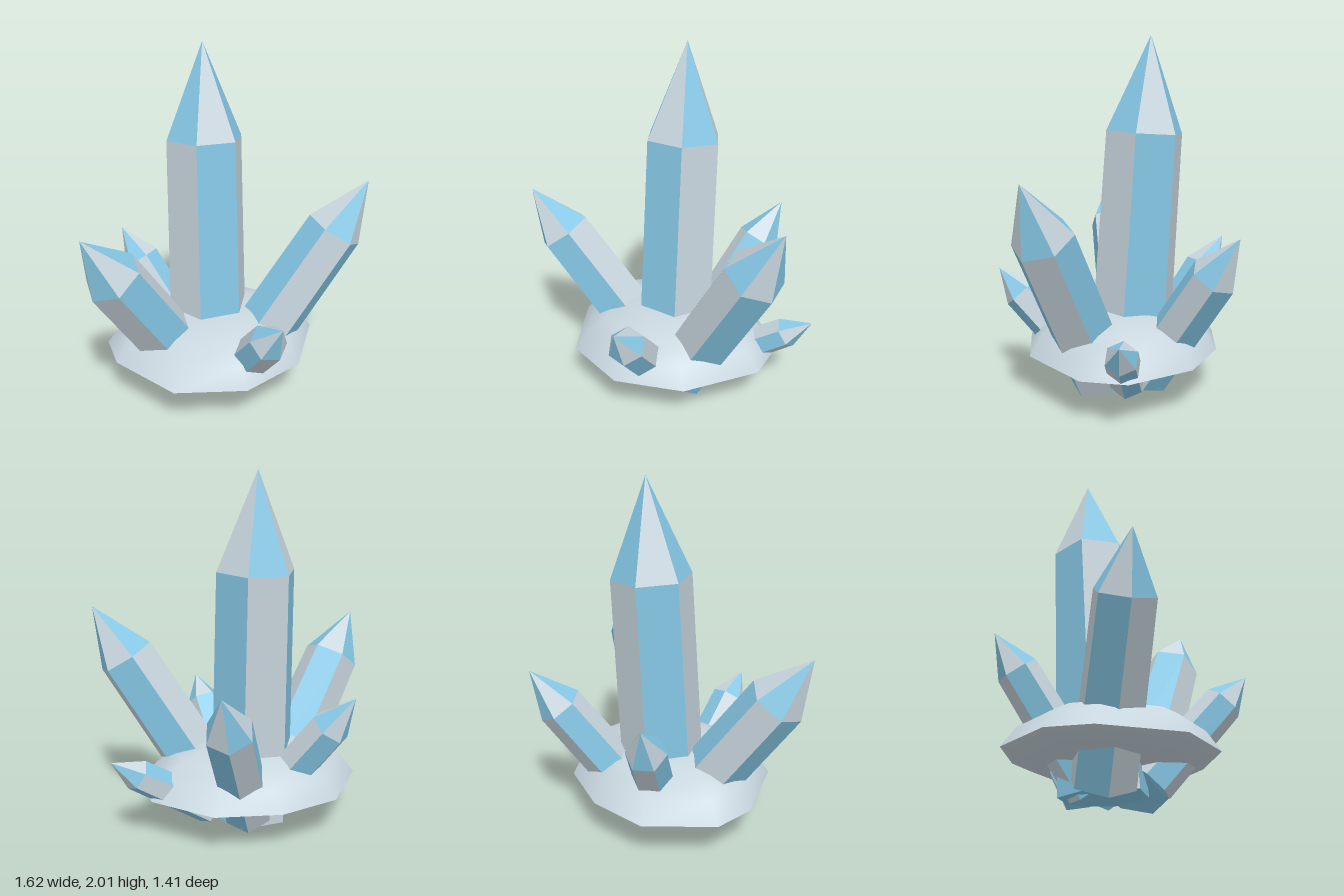
import * as THREE from 'three';

const mat = (name, color) => {
  const m = new THREE.MeshStandardMaterial({ color });
  m.name = name;
  return m;
};
const V = (a) => new THREE.Vector3(...a);

// Six-sided pointed crystal; faces alternate in colour, the tip opposite to the shaft.
// blueSide is the direction one blue shaft face looks towards.
function crystal(name, { base, tip, shoulder, r0, r1, blueSide }, mats) {
  const B = V(base), T = V(tip);
  const d = T.clone().sub(B).normalize();
  const u = V(blueSide).addScaledVector(d, -V(blueSide).dot(d)).normalize();
  const v = d.clone().cross(u);
  const S = B.clone().lerp(T, shoulder);
  const corner = (centre, r, i) => {
    const a = (i - 0.5) * Math.PI / 3;
    return centre.clone().addScaledVector(u, r * Math.cos(a)).addScaledVector(v, r * Math.sin(a));
  };
  const tris = [[], []]; // blue, pale
  for (let i = 0; i < 6; i++) {
    const b0 = corner(B, r0, i), b1 = corner(B, r0, i + 1);
    const t0 = corner(S, r1, i), t1 = corner(S, r1, i + 1);
    tris[i % 2].push(b0, b1, t1, b0, t1, t0);
    tris[1 - i % 2].push(t0, t1, T);
    tris[0].push(B, b1, b0);
  }
  const g = new THREE.BufferGeometry().setFromPoints([...tris[0], ...tris[1]]);
  g.addGroup(0, tris[0].length, 0);
  g.addGroup(tris[0].length, tris[1].length, 1);
  g.computeVertexNormals();
  const mesh = new THREE.Mesh(g, mats);
  mesh.name = name;
  return mesh;
}

// Irregular rim of the rock as x, z
const RIM = [[0.615, 0.05], [0.6, -0.2], [0.33, -0.48], [-0.02, -0.565], [-0.36, -0.5],
  [-0.625, -0.19], [-0.625, 0.05], [-0.4, 0.44], [-0.02, 0.555], [0.35, 0.42]];

// Smooth shell through scaled copies of the rim, given as [scale, y] from low to high
function shell(rings) {
  const n = RIM.length, pos = [], index = [];
  rings.forEach(([s, y]) => RIM.forEach(([x, z]) => pos.push(x * s, y, z * s)));
  for (let k = 0; k < rings.length - 1; k++) {
    for (let i = 0; i < n; i++) {
      const j = (i + 1) % n, a = k * n, b = a + n;
      index.push(a + i, a + j, b + j, a + i, b + j, b + i);
    }
  }
  const g = new THREE.BufferGeometry();
  g.setAttribute('position', new THREE.Float32BufferAttribute(pos, 3));
  g.setIndex(index);
  g.computeVertexNormals();
  return g;
}

export function createModel() {
  const model = new THREE.Group();
  model.name = 'crystalCluster';
  const blue = mat('ice blue', 0x86c8e6);
  const pale = mat('pale frost', 0xc8d6de);

  // Rock: domed top and flat underside, creased at the rim
  const rock = new THREE.Group();
  rock.name = 'rock';
  const parts = {
    rockTop: [[1, 0.25], [0.87, 0.36], [0.68, 0.425], [0.42, 0.475], [0.001, 0.48]],
    rockUnderside: [[0.001, 0.2], [0.8, 0.2], [1, 0.25]],
  };
  for (const [name, rings] of Object.entries(parts)) {
    const mesh = new THREE.Mesh(shell(rings), pale);
    mesh.name = name;
    rock.add(mesh);
  }
  model.add(rock);

  // Crystals passing through the rock
  const crystals = {
    mainCrystal: { base: [-0.02, 0.045, -0.055], tip: [-0.015, 2, -0.175], shoulder: 0.732, r0: 0.245, r1: 0.222, blueSide: [0, 0, 1] },
    frontLeftCrystal: { base: [0.13, 0.1, 0.08], tip: [0.81, 1.26, 0.27], shoulder: 0.75, r0: 0.182, r1: 0.166, blueSide: [-0.8, 0.5, 0.15] },
    frontRightCrystal: { base: [-0.15, 0.095, -0.03], tip: [-0.81, 1.13, 0.27], shoulder: 0.75, r0: 0.178, r1: 0.163, blueSide: [0.43, 0, 0.9] },
    backLeftCrystal: { base: [0.035, 0.09, -0.17], tip: [0.355, 0.965, -0.71], shoulder: 0.75, r0: 0.142, r1: 0.13, blueSide: [0.3, -1, 0] },
    backRightCrystal: { base: [-0.05, 0.08, -0.12], tip: [-0.43, 0.835, -0.545], shoulder: 0.76, r0: 0.122, r1: 0.112, blueSide: [0, 1, 0] },
    frontSmallCrystal: { base: [0.03, 0.12, 0.19], tip: [0.105, 0.68, 0.7], shoulder: 0.75, r0: 0.118, r1: 0.107, blueSide: [0.2, 1, 0] },
    leftSmallCrystal: { base: [0.25, 0.12, -0.11], tip: [0.81, 0.51, -0.205], shoulder: 0.75, r0: 0.098, r1: 0.088, blueSide: [0, 0, 1] },
  };
  for (const [name, spec] of Object.entries(crystals)) model.add(crystal(name, spec, [blue, pale]));
  return model;
}
